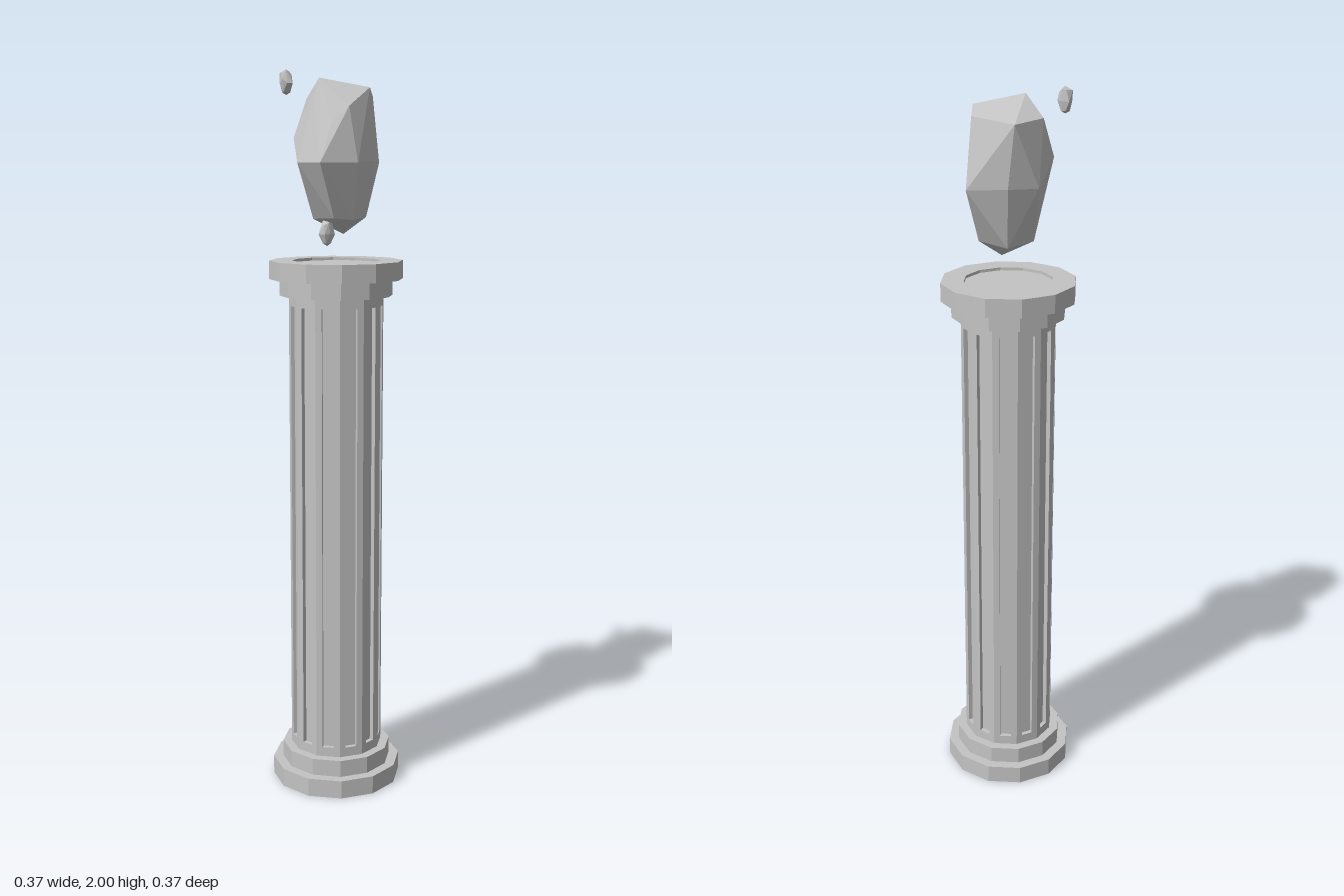
import * as THREE from 'three';
import { ConvexGeometry } from 'three/addons/geometries/ConvexGeometry.js';

const SIDES = 12;
const stone = new THREE.MeshStandardMaterial({ color: 0xc4c4c4 });
stone.name = 'stone grey';

function addMesh(parent, geometry, name) {
  const mesh = new THREE.Mesh(geometry, stone);
  mesh.name = name;
  parent.add(mesh);
  return mesh;
}

// Twelve-sided turned part with hard facets, profile listed from bottom to top
function turned(profile) {
  const points = profile.map(([r, y]) => new THREE.Vector2(r, y));
  const geometry = new THREE.LatheGeometry(points, SIDES).toNonIndexed();
  geometry.computeVertexNormals();
  return geometry;
}

// Flat frame with one long slot: a single side of the fluted shaft
function flutedPanel(width, y0, y1, slotWidth, margin, depth) {
  const rect = (Path, w, a, b) => new Path([
    new THREE.Vector2(-w / 2, a), new THREE.Vector2(w / 2, a),
    new THREE.Vector2(w / 2, b), new THREE.Vector2(-w / 2, b),
  ]);
  const shape = rect(THREE.Shape, width, y0, y1);
  shape.holes.push(rect(THREE.Path, slotWidth, y0 + margin, y1 - margin));
  return new THREE.ExtrudeGeometry(shape, { depth, bevelEnabled: false });
}

// Irregular faceted boulder, centred on its own origin
function rockGeometry() {
  const corners = [
    // crown
    [-0.045, 1.975, -0.014], [0.107, 1.93, 0.018], [0.064, 1.95, 0.064],
    [-0.018, 1.9, 0.086], [-0.029, 1.925, -0.1], [0.07, 1.92, -0.104],
    // shoulder
    [-0.06, 1.86, 0.066], [-0.074, 1.885, 0.004], [-0.084, 1.82, -0.08],
    // waist
    [0.15, 1.755, -0.01], [-0.005, 1.755, 0.108], [-0.108, 1.755, 0.083],
    [-0.118, 1.755, -0.01], [-0.003, 1.755, -0.114], [0.08, 1.76, -0.09],
    [0.078, 1.76, 0.064],
    // foot
    [-0.042, 1.61, 0.05], [0.01, 1.605, 0.068], [0.085, 1.61, 0.02],
    [0.055, 1.6, -0.06], [-0.035, 1.605, -0.06], [0.022, 1.565, 0.002],
  ];
  return new ConvexGeometry(corners.map(([x, y, z]) => new THREE.Vector3(x, y - 1.77, z)));
}

export function createModel() {
  const model = new THREE.Group();
  model.name = 'pillarWithFloatingRocks';

  // Stepped base and capital, the capital with a shallow dish on top
  addMesh(model, turned([
    [0, 0], [0.183, 0], [0.183, 0.052], [0.155, 0.052], [0.155, 0.1], [0, 0.1],
  ]), 'base');
  addMesh(model, turned([
    [0, 1.4], [0.155, 1.4], [0.155, 1.445], [0.183, 1.445], [0.183, 1.495],
    [0.121, 1.495], [0.121, 1.487], [0, 1.487],
  ]), 'capital');

  // Shaft: a core with twelve slotted panels around it
  const shaft = new THREE.Group();
  shaft.name = 'shaft';
  model.add(shaft);
  const radius = 0.13, depth = 0.012;
  const apothem = radius * Math.cos(Math.PI / SIDES);
  const coreRadius = (apothem - depth) / Math.cos(Math.PI / SIDES);
  addMesh(shaft, turned([[coreRadius, 0.1], [coreRadius, 1.4]]), 'shaftCore');
  const panel = flutedPanel(2 * radius * Math.sin(Math.PI / SIDES), 0.1, 1.4, 0.032, 0.027, depth);
  for (let i = 0; i < SIDES; i++) {
    const angle = ((i + 0.5) / SIDES) * Math.PI * 2;
    const side = addMesh(shaft, panel, 'flutedPanel');
    side.rotation.y = angle;
    side.position.set(Math.sin(angle), 0, Math.cos(angle)).multiplyScalar(apothem - depth);
  }

  // Floating boulder and two pebbles of the same form
  const rock = rockGeometry();
  addMesh(model, rock, 'floatingRock').position.y = 1.77;
  for (const [x, y, z, turn] of [[-0.08, 1.967, -0.121, 1.2], [-0.117, 1.576, 0.122, -0.7]]) {
    const pebble = addMesh(model, rock, 'pebble');
    pebble.position.set(x, y, z);
    pebble.rotation.y = turn;
    pebble.scale.setScalar(0.16);
  }
  return model;
}
